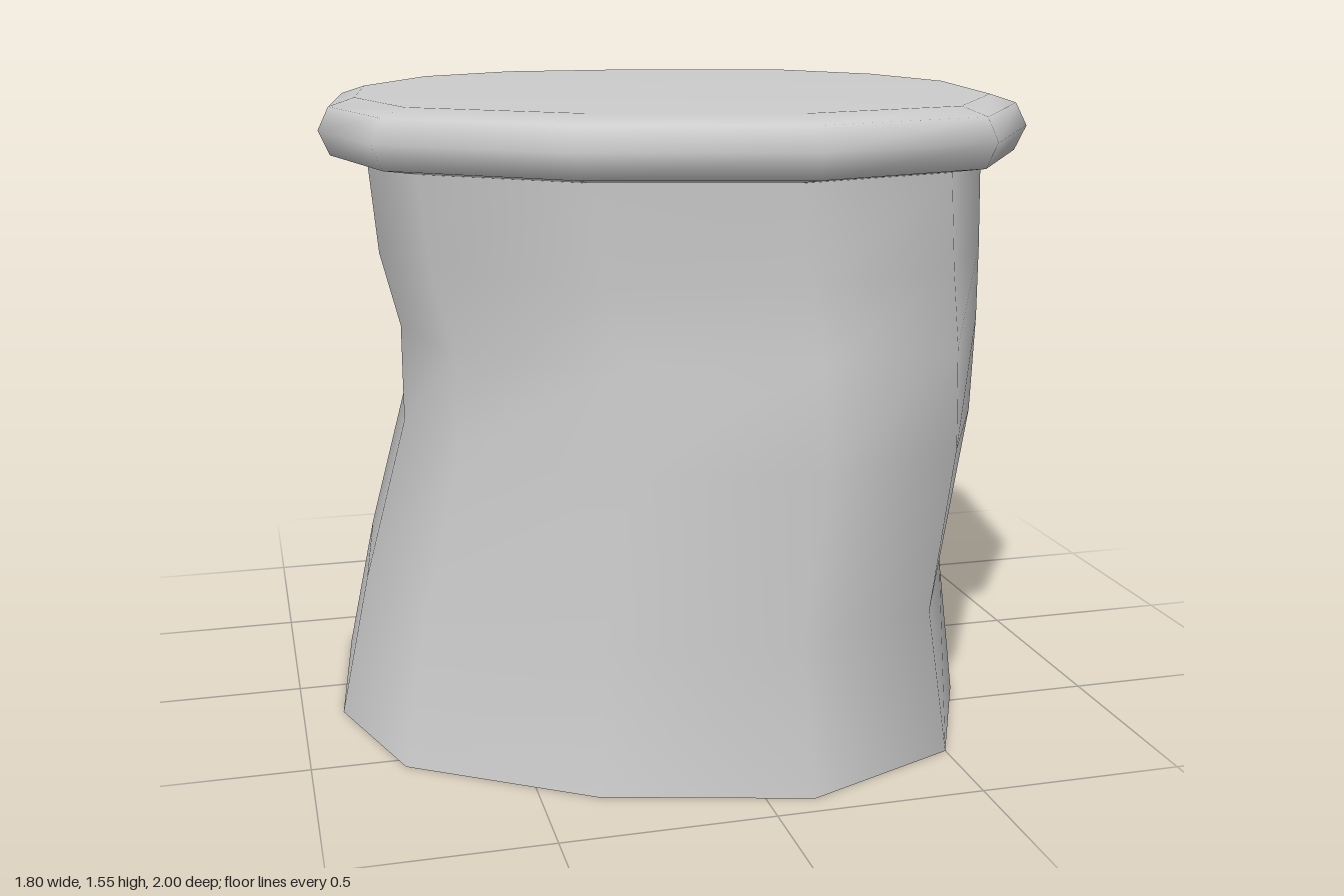
import * as THREE from 'three';

// Irregular 13-sided outlines as [x, z], counter-clockwise seen from above
const CAP = [[0.53, 0.87], [0.79, 0.47], [0.9, -0.12], [0.83, -0.54], [0.63, -0.85],
  [0.11, -1], [-0.29, -0.98], [-0.6, -0.76], [-0.83, -0.32], [-0.9, 0.18],
  [-0.81, 0.57], [-0.42, 0.87], [0.08, 1]];
const BASE = [[0.5, 0.78], [0.67, 0.42], [0.8, -0.1], [0.72, -0.57], [0.57, -0.84],
  [0.05, -1], [-0.28, -0.97], [-0.55, -0.77], [-0.84, -0.32], [-0.9, 0.18],
  [-0.78, 0.54], [-0.37, 0.81], [0.11, 0.94]];
const NECK = 0.875; // body top relative to the cap outline

const scaled = (outline, s) => outline.map(([x, z]) => [x * s, z * s]);

// Stretch an outline so that it spans the given x and z limits
function fit(outline, xMin, xMax, zMin, zMax) {
  const xs = outline.map(p => p[0]), zs = outline.map(p => p[1]);
  const map = (v, list, lo, hi) => THREE.MathUtils.mapLinear(v, Math.min(...list), Math.max(...list), lo, hi);
  return outline.map(([x, z]) => [map(x, xs, xMin, xMax), map(z, zs, zMin, zMax)]);
}

// Smooth skin through a stack of { y, outline } rings
function loft(rings) {
  const n = rings[0].outline.length, positions = [], index = [];
  rings.forEach(({ y, outline }, i) => {
    outline.forEach(([x, z], j) => {
      positions.push(x, y, z);
      if (i === 0) return;
      const k = (j + 1) % n, lo = (i - 1) * n, hi = i * n;
      index.push(lo + j, lo + k, hi + k, lo + j, hi + k, hi + j);
    });
  });
  const geometry = new THREE.BufferGeometry();
  geometry.setAttribute('position', new THREE.Float32BufferAttribute(positions, 3));
  geometry.setIndex(index);
  geometry.computeVertexNormals();
  return geometry;
}

export function createModel() {
  const group = new THREE.Group();
  const material = new THREE.MeshStandardMaterial({ color: 0xcccccc, side: THREE.DoubleSide });
  const add = (name, geometry) => {
    const mesh = new THREE.Mesh(geometry, material);
    mesh.name = name;
    group.add(mesh);
  };

  // Wavy hollow body, open below: y, xMin, xMax, zMin, zMax
  const topY = 1.405, neck = scaled(CAP, NECK);
  const body = [
    [0, -0.9, 0.8, -1, 0.94],
    [0.35, -0.825, 0.75, -0.945, 0.885],
    [0.76, -0.72, 0.79, -0.9, 0.91],
    [1.0, -0.72, 0.8, -0.865, 0.885],
    [1.18, -0.765, 0.805, -0.855, 0.865],
    [topY, -0.785, 0.795, -0.875, 0.875],
  ].map(([y, ...limits]) => {
    const t = y / topY;
    const blend = BASE.map(([x, z], j) => [
      THREE.MathUtils.lerp(x, neck[j][0], t), THREE.MathUtils.lerp(z, neck[j][1], t)]);
    return { y, outline: fit(blend, ...limits) };
  });
  add('body', loft(body));

  // Rounded overhanging rim closed by a flat top: scale, y
  const cap = [[NECK, topY], [0.97, 1.42], [1, 1.48], [0.97, 1.535], [0.9, 1.555], [0, 1.555]]
    .map(([s, y]) => ({ y, outline: scaled(CAP, s) }));
  add('cap', loft(cap));

  return group;
}
